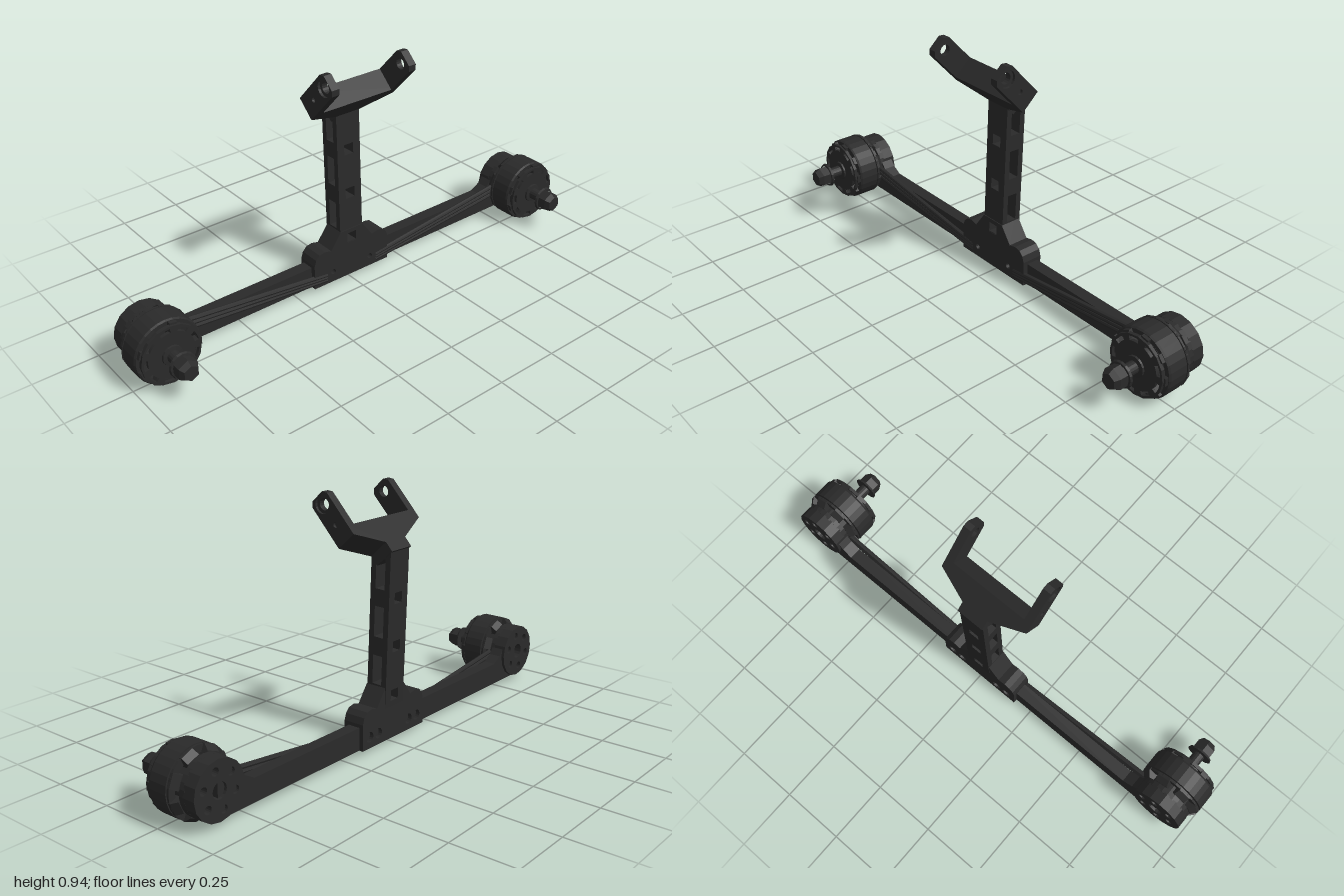
import * as THREE from 'three';

const dark = new THREE.MeshStandardMaterial({ color: 0x2a2a2a, flatShading: true });
dark.name = 'charcoal plastic';

function add(parent, geometry, name, x = 0, y = 0, z = 0) {
  const m = new THREE.Mesh(geometry, dark);
  m.name = name;
  m.position.set(x, y, z);
  parent.add(m);
  return m;
}

function group(parent, name, x = 0, y = 0, z = 0) {
  const g = new THREE.Group();
  g.name = name;
  g.position.set(x, y, z);
  parent.add(g);
  return g;
}

const poly = pts => new THREE.Shape(pts.map(p => new THREE.Vector2(p[0], p[1])));

function circleHole(shape, x, y, r) {
  shape.holes.push(new THREE.Path().absarc(x, y, r, 0, Math.PI * 2, true));
}

function squareHole(shape, y, s) {
  shape.holes.push(new THREE.Path([[-s, y - s], [-s, y + s], [s, y + s], [s, y - s]]
    .map(p => new THREE.Vector2(...p))));
}

const extrude = (shape, depth) =>
  new THREE.ExtrudeGeometry(shape, { depth, bevelEnabled: false, curveSegments: 8 });

// Solid of revolution around z; points are [radius, z], listed from back to front
function turned(pts, sides = 28) {
  return new THREE.LatheGeometry(pts.map(p => new THREE.Vector2(p[0], p[1])), sides).rotateX(Math.PI / 2);
}

function buildMotor(parent, x) {
  const motor = group(parent, 'motor', x, 0.131, 0);
  // Mounting puck with bolt holes open to the back
  const puck = new THREE.Shape().absarc(0, 0, 0.107, 0, Math.PI * 2);
  circleHole(puck, 0, 0, 0.03);
  for (let i = 0; i < 6; i++) {
    const a = i * Math.PI / 3 + 0.3;
    circleHole(puck, Math.cos(a) * 0.07, Math.sin(a) * 0.07, 0.015);
  }
  add(motor, extrude(puck, 0.05), 'motorMount', 0, 0, -0.15);
  add(motor, turned([[0, -0.105], [0.106, -0.105], [0.106, -0.082], [0, -0.082]]), 'motorBase');
  // Flared legs around the stator
  const leg = poly([[0.06, -0.083], [0.108, -0.083], [0.126, -0.062], [0.126, -0.051], [0.06, -0.051]]);
  for (let i = 0; i < 8; i++) {
    const pivot = group(motor, 'baseLeg');
    pivot.rotation.z = i * Math.PI / 4 + 0.39;
    const m = add(pivot, extrude(leg, 0.05).translate(0, 0, -0.025), 'baseLegWeb');
    m.rotation.x = Math.PI / 2;
  }
  add(motor, turned([[0.1, -0.058], [0.127, -0.058], [0.127, -0.05], [0.1, -0.05], [0.1, -0.058]]), 'baseRing');
  add(motor, turned([[0, -0.085], [0.092, -0.085], [0.092, 0.025], [0, 0.025]]), 'stator');
  // Rotating bell
  add(motor, turned([[0.112, -0.045], [0.128, -0.045], [0.128, 0.03], [0.124, 0.037],
    [0.108, 0.037], [0.112, -0.045]]), 'bell');
  for (let i = 0; i < 9; i++) {
    const pivot = group(motor, 'bellSpoke');
    pivot.rotation.z = i * Math.PI * 2 / 9;
    add(pivot, new THREE.BoxGeometry(0.09, 0.03, 0.022), 'bellSpokeBar', 0.076, 0, 0.04);
  }
  const cap = new THREE.Shape().absarc(0, 0, 0.116, 0, Math.PI * 2);
  for (let i = 0; i < 9; i++) {
    const a = (i + 0.5) * Math.PI * 2 / 9, slot = new THREE.Path();
    slot.absarc(0, 0, 0.106, a - 0.2, a + 0.2, false);
    slot.absarc(0, 0, 0.09, a + 0.2, a - 0.2, true);
    cap.holes.push(slot);
  }
  add(motor, extrude(cap, 0.013), 'bellCap', 0, 0, 0.046);
  // Shaft and flanged nut
  add(motor, turned([[0, 0.04], [0.042, 0.04], [0.038, 0.066], [0.023, 0.068], [0.023, 0.127], [0, 0.127]], 16), 'shaft');
  add(motor, turned([[0, 0.124], [0.05, 0.124], [0.047, 0.132], [0.04, 0.133]], 16), 'nutFlange');
  add(motor, turned([[0, 0.128], [0.042, 0.128], [0.042, 0.165], [0.03, 0.185], [0, 0.185]], 6), 'nut');
}

function buildArm(parent, side) {
  // Horizontal beam flaring into the motor mount
  const pts = [[0.05, 0.025], [0.87, 0.025], [0.87, 0.235], [0.83, 0.225], [0.785, 0.18],
    [0.75, 0.135], [0.71, 0.112], [0.05, 0.112]];
  const shape = poly(pts.map(p => [p[0] * side, p[1]]));
  add(parent, extrude(shape, 0.049), 'beam', 0, 0, -0.139);
  // Motor cables along the front
  for (let i = 0; i < 3; i++) {
    const a = new THREE.Vector3(0.12 * side, 0.062 - 0.011 * i, -0.076);
    const b = new THREE.Vector3(0.78 * side, 0.14 - 0.018 * i, -0.076);
    add(parent, new THREE.TubeGeometry(new THREE.LineCurve3(a, b), 1, 0.0095, 8), 'motorCable');
  }
  buildMotor(parent, 0.871 * side);
}

function buildHub(parent) {
  const half = [[0.18, 0.024], [0.18, 0.125], [0.172, 0.15], [0.155, 0.167], [0.13, 0.172],
    [0.1, 0.165], [0.053, 0.23]];
  const outline = [...half, ...half.map(p => [-p[0], p[1]]).reverse()];
  // Layers: front body with bolt holes, back plate with nut pockets
  const body = poly(outline), back = poly(outline);
  for (const s of [-1, 1]) {
    circleHole(body, s * 0.09, 0.067, 0.011);
    circleHole(back, s * 0.09, 0.067, 0.02);
    circleHole(back, s * 0.14, 0.067, 0.02);
  }
  squareHole(body, 0.192, 0.021);
  squareHole(back, 0.192, 0.021);
  add(parent, extrude(body, 0.065), 'hub', 0, 0, -0.135);
  add(parent, extrude(back, 0.02), 'hubBackPlate', 0, 0, -0.155);
}

function buildPost(parent) {
  const post = group(parent, 'post', 0, 0, -0.15);
  post.rotation.x = -0.036;
  const w = 0.053, centres = [0.192, 0.38, 0.562];
  // Front and back rails
  for (const z of [0, 0.063]) {
    const rail = poly([[-w, 0.15], [w, 0.15], [w, 0.735], [-w, 0.735]]);
    centres.forEach(y => squareHole(rail, y, 0.021));
    add(post, extrude(rail, 0.022), 'postRail', 0, 0, z);
  }
  // Cross blocks between the rails
  [[0.15, 0.235], [0.345, 0.415], [0.53, 0.595]].forEach(([a, b], i) => {
    const block = poly([[-w, a], [w, a], [w, b], [-w, b]]);
    squareHole(block, centres[i], 0.021);
    add(post, extrude(block, 0.041), 'postBlock', 0, 0, 0.022);
  });
  add(post, new THREE.BoxGeometry(2 * w, 0.03, 0.085), 'postTop', 0, 0.722, 0.0425);
}

function buildBracket(parent) {
  // Tilted fork: local y runs along the fork arms, local -z to the back
  const fork = group(parent, 'bracket', -0.005, 0.71, -0.09);
  fork.rotation.x = 0.747;
  const yoke = poly([[-0.05, -0.04], [0.06, -0.04], [0.06, 0], [0.187, 0.06], [0.187, 0.098],
    [-0.187, 0.098], [-0.187, 0.06], [-0.05, 0]]);
  add(fork, extrude(yoke, 0.09), 'yoke', 0, 0, -0.09);
  for (const s of [-1, 1]) {
    // Arm plate drawn in depth and length, then turned to face sideways
    const pts = [[0, 0.06], [0.09, 0.06], [0.09, 0.235], [0.075, 0.252], [0.015, 0.252], [0, 0.235]];
    const inner = poly(pts), outer = poly(pts);
    circleHole(inner, 0.045, 0.216, 0.021);
    circleHole(outer, 0.045, 0.216, 0.033);
    circleHole(outer, 0.045, 0.13, 0.01);
    const a = add(fork, extrude(inner, 0.022), 'forkArm', s > 0 ? 0.155 : -0.177);
    const b = add(fork, extrude(outer, 0.01), 'forkArmFace', s > 0 ? 0.177 : -0.187);
    a.rotation.y = b.rotation.y = Math.PI / 2;
  }
}

export function createModel() {
  const model = new THREE.Group();
  model.name = 'twinMotorFrame';
  buildArm(group(model, 'leftArm'), 1);
  buildArm(group(model, 'rightArm'), -1);
  buildHub(model);
  buildPost(model);
  buildBracket(model);
  return model;
}
